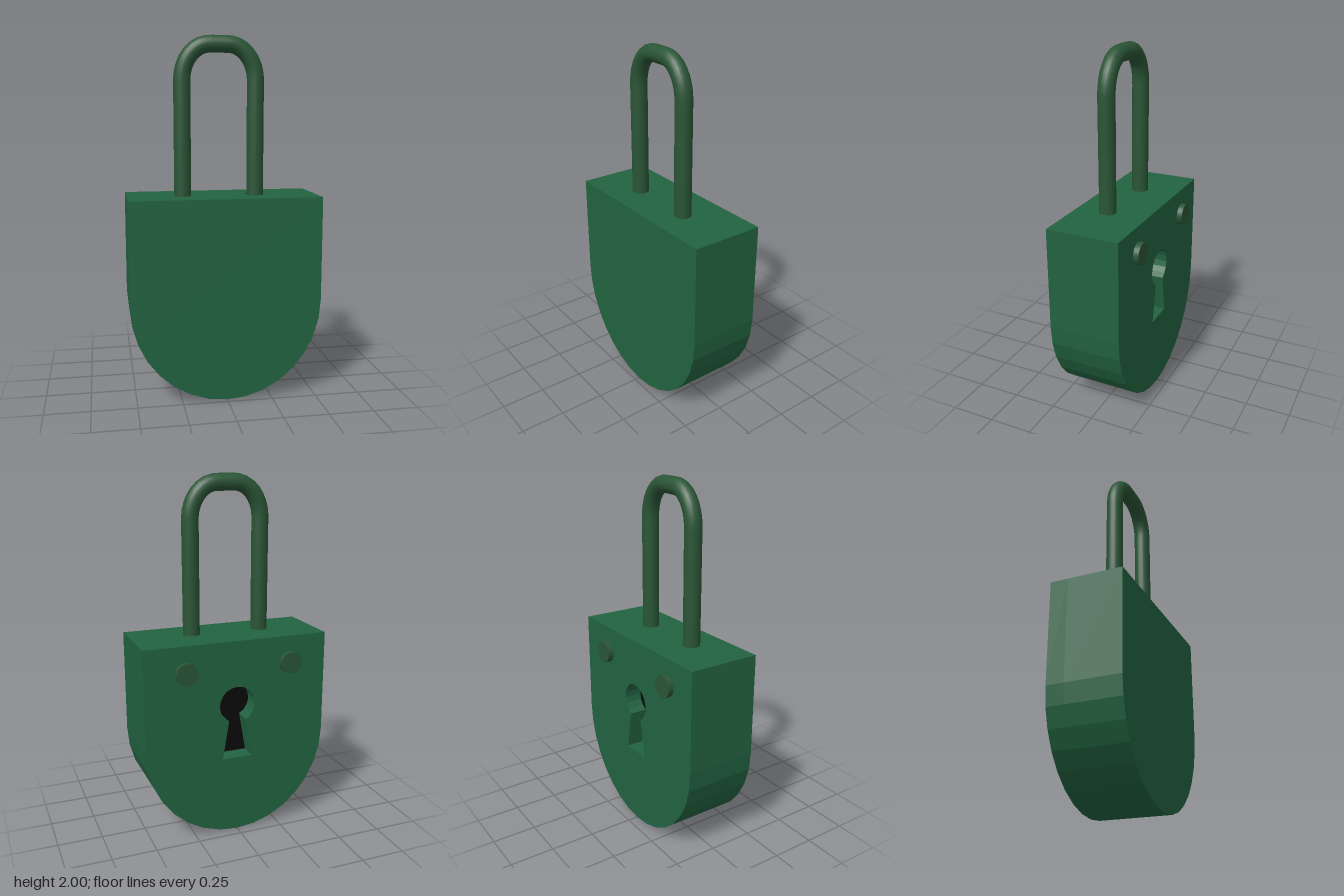
import * as THREE from 'three';

export function createModel() {
  const model = new THREE.Group();
  const bodyPaint = new THREE.MeshStandardMaterial({ color: 0x226340 });
  const darkPaint = new THREE.MeshStandardMaterial({ color: 0x2a5536 });
  const black = new THREE.MeshStandardMaterial({ color: 0x0a0a0a });

  const add = (name, geometry, material, parent = model) => {
    const mesh = new THREE.Mesh(geometry, material);
    mesh.name = name;
    parent.add(mesh);
    return mesh;
  };

  // Flat-topped outline with a rounded bottom
  const outline = () => new THREE.Shape()
    .moveTo(0.53, 1.13)
    .lineTo(-0.53, 1.13)
    .absellipse(0, 0.555, 0.53, 0.553, Math.PI, Math.PI * 2);

  // Keyhole: round top with a flared slot
  const keyY = 0.765, keyR = 0.105, neck = 0.05;
  const neckAngle = Math.acos(neck / keyR);
  const keyhole = new THREE.Shape()
    .moveTo(-0.088, 0.45)
    .lineTo(0.088, 0.45)
    .absarc(0, keyY, keyR, -neckAngle, Math.PI + neckAngle);

  // Body: solid front slab plus a back slab pierced by the keyhole
  const seam = -0.09, backZ = -0.19, frontZ = 0.22;
  const body = new THREE.Group();
  body.name = 'body';
  model.add(body);
  const slab = (name, shape, z0, z1) => {
    const geometry = new THREE.ExtrudeGeometry(shape, { depth: z1 - z0, bevelEnabled: false, curveSegments: 8 });
    add(name, geometry, bodyPaint, body).position.z = z0;
  };
  slab('bodyFront', outline(), seam, frontZ);
  const pierced = outline();
  pierced.holes.push(keyhole);
  slab('bodyBack', pierced, backZ, seam);

  // Dark floor of the keyhole
  const floor = add('keyholeFloor', new THREE.ShapeGeometry(keyhole, 8), black);
  floor.rotation.y = Math.PI;
  floor.position.z = seam - 0.002;

  // Rivets on the back
  for (const x of [-0.312, 0.298]) {
    const rivet = add('rivet', new THREE.CylinderGeometry(0.062, 0.062, 0.06, 24), darkPaint);
    rivet.rotation.x = Math.PI / 2;
    rivet.position.set(x, 0.98, -0.191);
  }

  // Shackle: two legs, rounded shoulders and a short flat crown
  const half = 0.203, flat = 0.05, shoulder = 1.76, crown = 1.953, k = 0.552;
  const p = (x, y) => new THREE.Vector3(x, y, 0);
  const bend = (s) => [
    p(s * half, shoulder),
    p(s * half, shoulder + k * (crown - shoulder)),
    p(s * (half - (1 - k) * (half - flat)), crown),
    p(s * flat, crown),
  ];
  const path = new THREE.CurvePath();
  path.add(new THREE.LineCurve3(p(-half, 1.05), p(-half, shoulder)));
  path.add(new THREE.CubicBezierCurve3(...bend(-1)));
  path.add(new THREE.LineCurve3(p(-flat, crown), p(flat, crown)));
  path.add(new THREE.CubicBezierCurve3(...bend(1).reverse()));
  path.add(new THREE.LineCurve3(p(half, shoulder), p(half, 1.05)));
  const shackle = add('shackle', new THREE.TubeGeometry(path, 60, 0.047, 20), darkPaint);
  shackle.position.set(-0.017, 0, 0.037);
  shackle.rotation.y = -0.015;

  return model;
}
